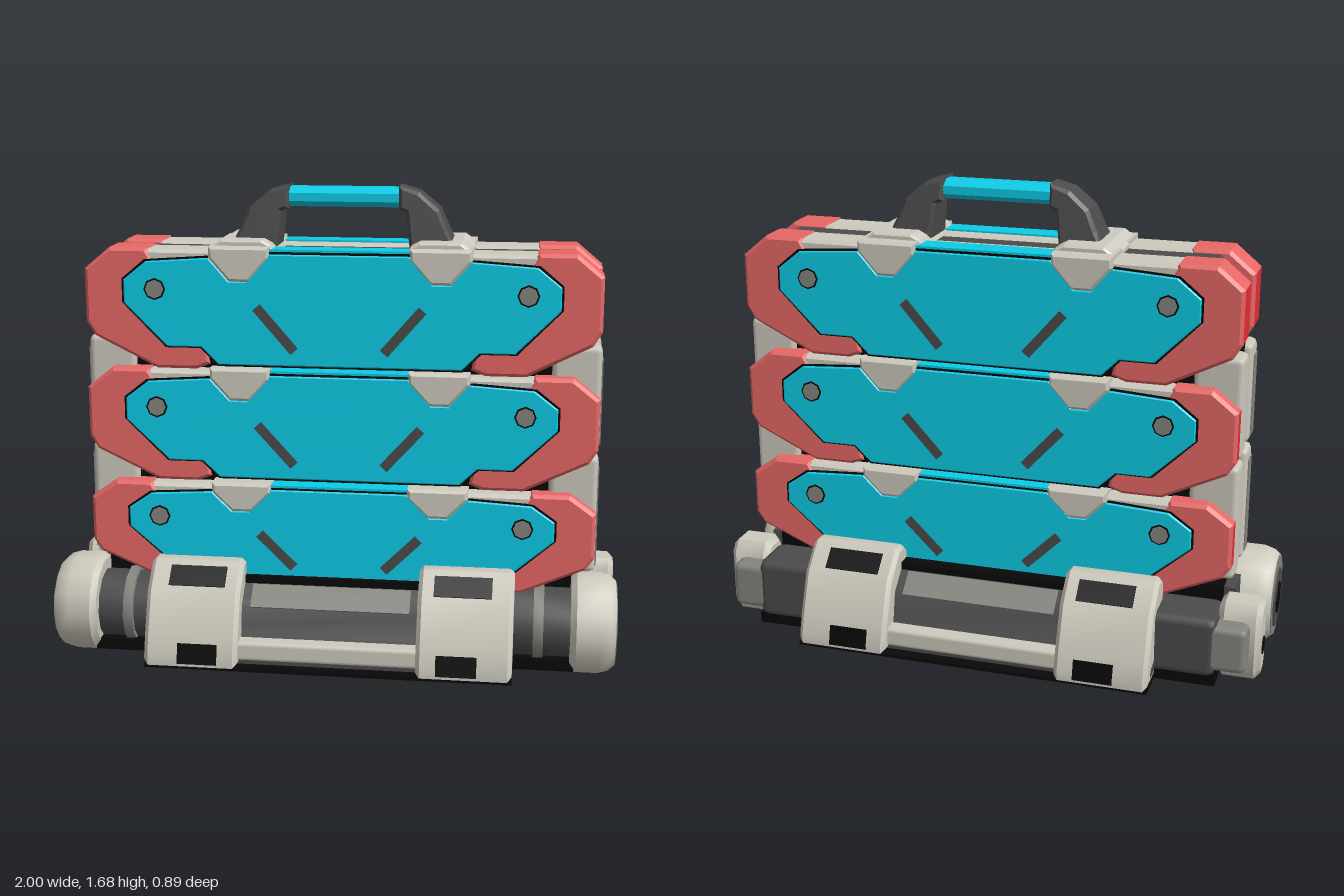
import * as THREE from 'three';
import { toCreasedNormals } from 'three/addons/utils/BufferGeometryUtils.js';
import { RoundedBoxGeometry } from 'three/addons/geometries/RoundedBoxGeometry.js';

const mat = (name, color) => {
  const m = new THREE.MeshStandardMaterial({ color });
  m.name = name;
  return m;
};

export function createModel() {
  const cyan = mat('cyan', 0x0ccde8), coral = mat('coral', 0xe86866), red = mat('red', 0xf8303a);
  const light = mat('light grey', 0xcecabe), mid = mat('mid grey', 0x85857f);
  const dark = mat('dark grey', 0x4b4b4b), black = mat('black', 0x080808);

  const root = new THREE.Group();
  root.name = 'barrier';

  const add = (parent, name, geo, material, x = 0, y = 0, z = 0) => {
    const m = new THREE.Mesh(geo, material);
    m.name = name;
    m.position.set(x, y, z);
    parent.add(m);
    return m;
  };
  const box = (parent, name, material, w, h, d, x, y, z) =>
    add(parent, name, new THREE.BoxGeometry(w, h, d), material, x, y, z);

  // Extrudes an outline from z0 to z1, with an optional chamfer inside those limits
  const slab = (pts, z0, z1, bevel = 0) => {
    const shape = new THREE.Shape(pts.map(p => new THREE.Vector2(p[0], p[1])));
    const g = new THREE.ExtrudeGeometry(shape, {
      depth: z1 - z0 - 2 * bevel, bevelEnabled: bevel > 0, bevelSegments: 1,
      bevelSize: bevel, bevelThickness: bevel, bevelOffset: -bevel,
    });
    return g.translate(0, 0, z0 + bevel);
  };
  // Extrudes a (z, y) profile along x, centred on x = 0
  const profileX = (pts, width, bevel = 0) =>
    toCreasedNormals(slab(pts, -width / 2, width / 2, bevel).rotateY(-Math.PI / 2), 0.7);
  const mirrorHalf = half => [...half, ...half.slice().reverse().map(([x, y]) => [-x, y])];
  // Second material for triangles that face outwards along x, but not up or forwards
  const groupOuterFaces = (geo, s) => {
    const n = geo.attributes.normal;
    geo.clearGroups();
    for (let i = 0; i < n.count; i += 3) {
      const outer = n.getX(i) * s > 0.3 && n.getY(i) < 0.4 && Math.abs(n.getZ(i)) < 0.6;
      geo.addGroup(i, 3, outer ? 1 : 0);
    }
    return geo;
  };

  // ---- Stacked panels, the same on both faces ----
  const bodyHalf = [[0.64, 0.01], [0.84, 0.11], [0.86, 0.33], [0.78, 0.405], [0.02, 0.405]];
  const endCap = [[0.45, 0.02], [0.50, 0], [0.64, 0], [0.86, 0.11], [0.89, 0.16], [0.89, 0.345],
    [0.80, 0.42], [0.67, 0.42], [0.60, 0.30], [0.47, 0.12]];
  const plateHalf = [[0.42, 0.02], [0.48, 0.08], [0.60, 0.08], [0.75, 0.23], [0.75, 0.31], [0.67, 0.375],
    [0.45, 0.39], [0.38, 0.31], [0.32, 0.31], [0.24, 0.405]];
  const seamHalf = plateHalf.map(([x, y]) => [x * 1.01, (y - 0.21) * 1.035 + 0.21]);
  const clip = [[0.24, 0.43], [0.24, 0.39], [0.31, 0.31], [0.38, 0.31], [0.45, 0.39], [0.45, 0.43]];
  const rows = [
    { y: 1.06, h: 0.42, inner: 0.05, outer: 0.188 },
    { y: 0.66, h: 0.40, inner: 0.12, outer: 0.198 },
    { y: 0.29, h: 0.36, inner: 0.12, outer: 0.198 },
  ];
  const sideBlocks = [[0.80, 1.165], [0.36, 0.78]];

  const buildFace = name => {
    const face = new THREE.Group();
    face.name = name;
    rows.forEach(({ y, h, inner, outer }, i) => {
      const panel = new THREE.Group();
      panel.name = 'panel' + (i + 1);
      panel.position.y = y;
      face.add(panel);
      const k = h / 0.42;
      const fit = (pts, s = 1) => pts.map(p => [p[0] * s, p[1] * k]);

      add(panel, 'panelBody', slab(fit(mirrorHalf(bodyHalf)), 0.05, outer - 0.008, 0.012), black);
      add(panel, 'panelTopRail', slab([[-0.7, 0.36 * k], [0.7, 0.36 * k], [0.7, h - 0.005], [-0.7, h - 0.005]],
        0.05, outer - 0.004, 0.012), light);
      box(panel, 'topStrip', cyan, 0.52, 0.008, outer - 0.1, 0, h - 0.003, (outer + 0.1) / 2);
      add(panel, 'plateSeam', slab(fit(mirrorHalf(seamHalf)), outer - 0.01, outer + 0.004), black);
      add(panel, 'facePlate', slab(fit(mirrorHalf(plateHalf)), outer - 0.01, outer + 0.012, 0.004), cyan);

      for (const s of [-1, 1]) {
        add(panel, 'endCap', groupOuterFaces(slab(fit(endCap, s), inner, outer + 0.002, 0.012), s), [coral, red]);
        add(panel, 'clip', slab(fit(clip, s), 0.05, outer + 0.018, 0.01), light);
        // Diagonal slit between the centre and the wing of the plate
        const slit = box(panel, 'slit', dark, 0.2 * k, 0.034, 0.006, s * 0.22, 0.148 * k, outer + 0.012);
        slit.rotation.z = s * Math.atan2(0.15 * k, 0.13);
        for (const [n, m, r, z] of [['boltRim', black, 0.038, 0.012], ['bolt', mid, 0.032, 0.015]]) {
          add(panel, n, new THREE.CylinderGeometry(r, r, 0.006, 8).rotateX(Math.PI / 2), m,
            s * 0.64, 0.28 * k, outer + z);
        }
      }
    });
    // Side blocks that fill the ends between the panels
    for (const s of [-1, 1]) for (const [y0, y1] of sideBlocks) {
      add(face, 'sideBlock', new RoundedBoxGeometry(0.17, y1 - y0, 0.115, 1, 0.022), light,
        s * 0.81, (y0 + y1) / 2, 0.0925);
    }
    return face;
  };

  const body = new THREE.Group();
  body.name = 'body';
  body.position.set(0.02, 0, 0.015);
  root.add(body);
  body.add(buildFace('frontFace'));
  const back = buildFace('backFace');
  back.rotation.y = Math.PI;
  body.add(back);
  // Spine between the two faces, dark on top and black at the ends
  add(body, 'core', slab(mirrorHalf([[0.86, 0.12], [0.86, 1.37], [0.77, 1.465]]), -0.05, 0.05), dark);
  box(body, 'innerFill', black, 1.46, 0.8, 0.26, 0, 0.7, 0);
  for (const s of [-1, 1]) {
    box(body, 'coreEnd', black, 0.008, 1.25, 0.104, s * 0.862, 0.745, 0);
    for (const [y0, y1] of sideBlocks) {
      box(body, 'sideBlockInset', mid, 0.006, y1 - y0 - 0.07, 0.065, s * 0.895, (y0 + y1) / 2 - 0.012, 0.1);
    }
  }

  // ---- Carrying handle ----
  const handle = new THREE.Group();
  handle.name = 'handle';
  body.add(handle);
  const arm = [[0.39, 1.48], [0.36, 1.54], [0.33, 1.61], [0.26, 1.67], [0.19, 1.69], [0.19, 1.61], [0.215, 1.60], [0.23, 1.48]];
  for (const s of [-1, 1]) {
    const g = slab(arm.map(([x, y]) => [x * s, y]), -0.06, 0.06, 0.012);
    const p = g.attributes.position;
    for (let i = 0; i < p.count; i++) p.setZ(i, p.getZ(i) * (1 + (1.69 - p.getY(i)) * 2.6));
    g.computeVertexNormals();
    add(handle, 'handleArm', g, dark, 0, 0, 0.018);
    add(handle, 'handleMount', slab([[0.22, 1.46], [0.24, 1.495], [0.27, 1.51], [0.41, 1.51], [0.45, 1.48], [0.45, 1.46]]
      .map(([x, y]) => [x * s, y]), -0.155, 0.175, 0.008), light);
  }
  const grip = new THREE.CylinderGeometry(0.042, 0.042, 0.39, 8).rotateZ(Math.PI / 2).rotateX(Math.PI / 8).scale(1, 0.88, 1.35);
  add(handle, 'grip', toCreasedNormals(grip, 0.5), cyan, 0, 1.648, 0.016);

  // ---- Base ----
  const base = new THREE.Group();
  base.name = 'base';
  root.add(base);
  const hullHalf = [[0.39, 0.05], [0.39, 0.09], [0.34, 0.14], [0.32, 0.24], [0.25, 0.30], [0.2, 0.30]];
  add(base, 'hull', profileX(mirrorHalf(hullHalf), 1.28, 0.01), dark);
  box(base, 'underside', black, 1.28, 0.012, 0.87, 0, 0.045, 0);
  box(base, 'endUnderside', black, 1.7, 0.04, 0.6, 0, 0.06, -0.01);
  box(base, 'endBlock', black, 1.68, 0.28, 0.24, 0, 0.19, 0);

  const clampProfile = [[0.18, 0.05], [0.18, 0.36], [0.22, 0.385], [0.27, 0.385], [0.36, 0.30], [0.42, 0.15], [0.44, 0.08], [0.44, 0.05]];
  for (const f of [1, -1]) {
    const side = new THREE.Group();
    side.name = f > 0 ? 'baseFront' : 'baseBack';
    side.rotation.y = f > 0 ? 0 : Math.PI;
    base.add(side);
    // Thin plate lying on the slope between two (z, y) points
    const slopePlate = (name, m, w, x, [z0, y0], [z1, y1]) => {
      const p = box(side, name, m, w, Math.hypot(z1 - z0, y1 - y0), 0.008, x, (y0 + y1) / 2, (z0 + z1) / 2);
      p.rotation.x = Math.atan2(z1 - z0, y1 - y0);
    };
    add(side, 'lowerBar', new RoundedBoxGeometry(0.66, 0.07, 0.07, 1, 0.015), light, 0, 0.1, 0.37);
    slopePlate('upperStrip', mid, 0.56, 0, [0.323, 0.236], [0.253, 0.297]);
    box(side, 'upperGap', black, 0.62, 0.03, 0.1, 0, 0.31, 0.2);
    for (const s of [-1, 1]) {
      add(side, 'clamp', profileX(clampProfile, 0.33, 0.015), light, s * 0.475, 0, 0);
      slopePlate('clampWindow', black, 0.2, s * 0.465, [0.346, 0.313], [0.288, 0.368]);
      slopePlate('clampNotch', black, 0.14, s * 0.45, [0.441, 0.06], [0.425, 0.13]);
    }
  }

  // ---- Wheels, axles and rear stubs ----
  const disc = (parent, name, r, len, m, x, y, z, n = 12) =>
    add(parent, name, toCreasedNormals(new THREE.CylinderGeometry(r, r, len, n).rotateZ(Math.PI / 2), 0.6), m, x, y, z);
  const tyre = [[0, -0.08], [0.16, -0.08], [0.178, -0.06], [0.178, 0.02], [0.168, 0.055], [0.15, 0.075], [0, 0.075]]
    .map(p => new THREE.Vector2(...p));
  const stub = [[-0.245, 0.08], [-0.215, 0.04], [-0.13, 0.04], [-0.105, 0.08], [-0.105, 0.29], [-0.13, 0.32], [-0.215, 0.32], [-0.245, 0.28]];
  for (const s of [-1, 1]) {
    const end = new THREE.Group();
    end.name = s > 0 ? 'leftEnd' : 'rightEnd';
    base.add(end);
    disc(end, 'axle', 0.125, 0.24, dark, s * 0.74, 0.18, 0.18);
    disc(end, 'axleCollar', 0.14, 0.035, mid, s * 0.725, 0.18, 0.18);
    const wheel = new THREE.LatheGeometry(tyre, 14).rotateZ(-s * Math.PI / 2);
    add(end, 'wheel', toCreasedNormals(wheel, 0.6), light, s * 0.915, 0.185, 0.18);
    disc(end, 'wheelFace', 0.148, 0.008, mid, s * 0.989, 0.184, 0.18, 14);
    disc(end, 'hubRing', 0.11, 0.008, dark, s * 0.993, 0.175, 0.18, 14);
    disc(end, 'hub', 0.06, 0.008, black, s * 0.996, 0.175, 0.18);

    add(end, 'rearArm', new RoundedBoxGeometry(0.24, 0.22, 0.2, 1, 0.03), dark, s * 0.73, 0.18, -0.22);
    add(end, 'rearStub', profileX(stub, 0.15, 0.02), light, s * 0.918, 0, 0);
    add(end, 'rearBracket', new RoundedBoxGeometry(0.14, 0.17, 0.1, 1, 0.025), mid, s * 0.885, 0.18, -0.265);
    disc(end, 'rearStubHole', 0.034, 0.008, black, s * 0.992, 0.155, -0.175, 8);
    box(end, 'sideLink', dark, 0.2, 0.11, 0.12, s * 0.78, 0.27, -0.05);
  }
  return root;
}
